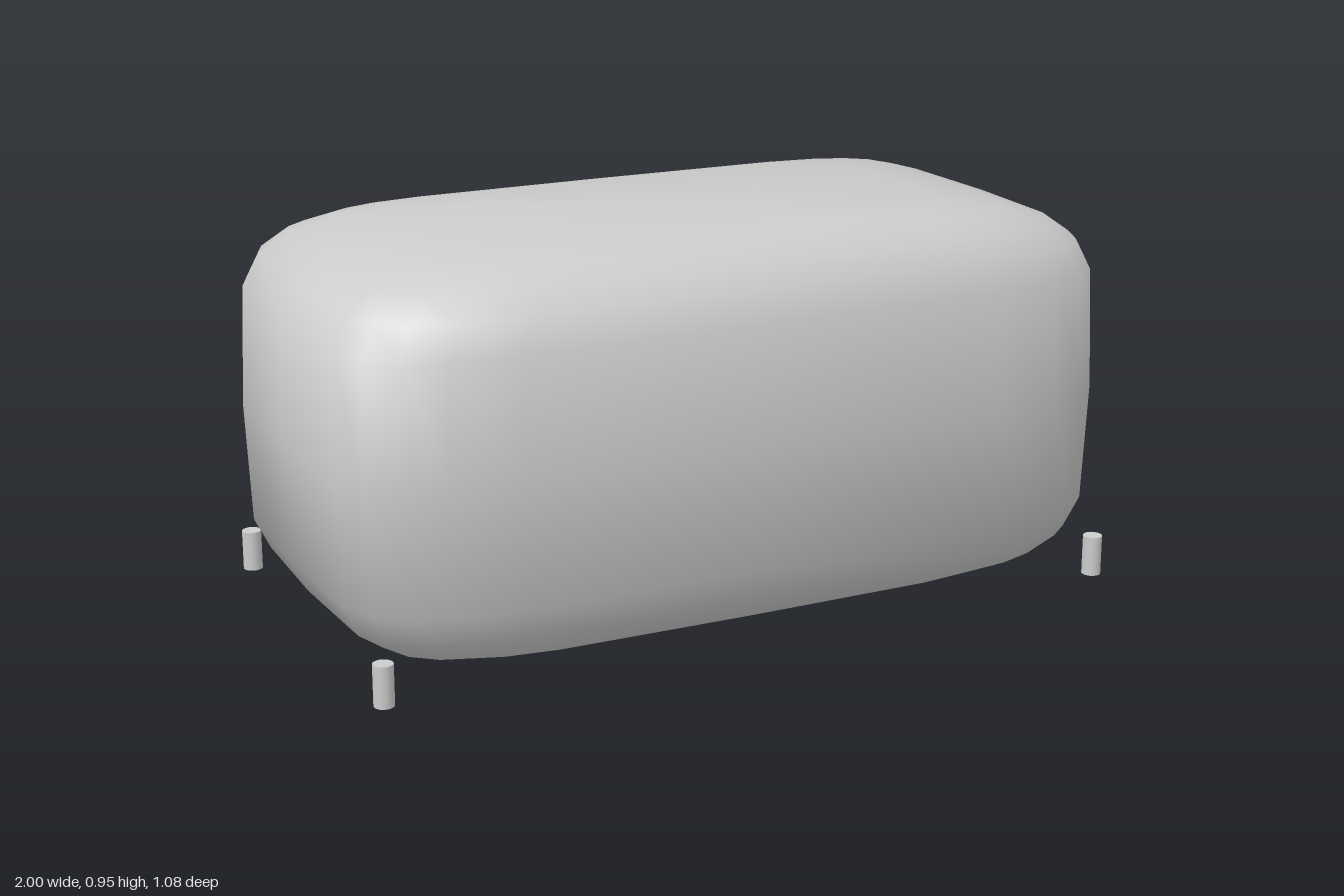
import * as THREE from 'three';

export function createModel() {
  const model = new THREE.Group();
  const material = new THREE.MeshStandardMaterial({ color: 0xcccccc });

  // Body: a sphere pushed out towards a box; the sphere's soft normals are kept
  const shape = new THREE.SphereGeometry(1, 24, 12);
  const pos = shape.attributes.position;
  const square = (v) => (Math.abs(v) < 1e-6 ? 0 : Math.sign(v) * Math.abs(v) ** 0.35);
  for (let i = 0; i < pos.count; i++) {
    pos.setXYZ(i, square(pos.getX(i)), square(pos.getY(i)), square(pos.getZ(i)));
  }
  const body = new THREE.Mesh(shape, material);
  body.name = 'body';
  body.scale.set(1, 0.473, 0.54);
  body.position.y = 0.477;
  model.add(body);

  // Four short round feet at the corners
  const footShape = new THREE.CylinderGeometry(0.024, 0.024, 0.1, 16);
  for (const x of [-1, 1]) {
    for (const z of [-1, 1]) {
      const foot = new THREE.Mesh(footShape, material);
      foot.name = (z > 0 ? 'front' : 'back') + (x > 0 ? 'Left' : 'Right') + 'Foot';
      foot.position.set(x * 0.94, 0.05, z * 0.482);
      model.add(foot);
    }
  }
  return model;
}
